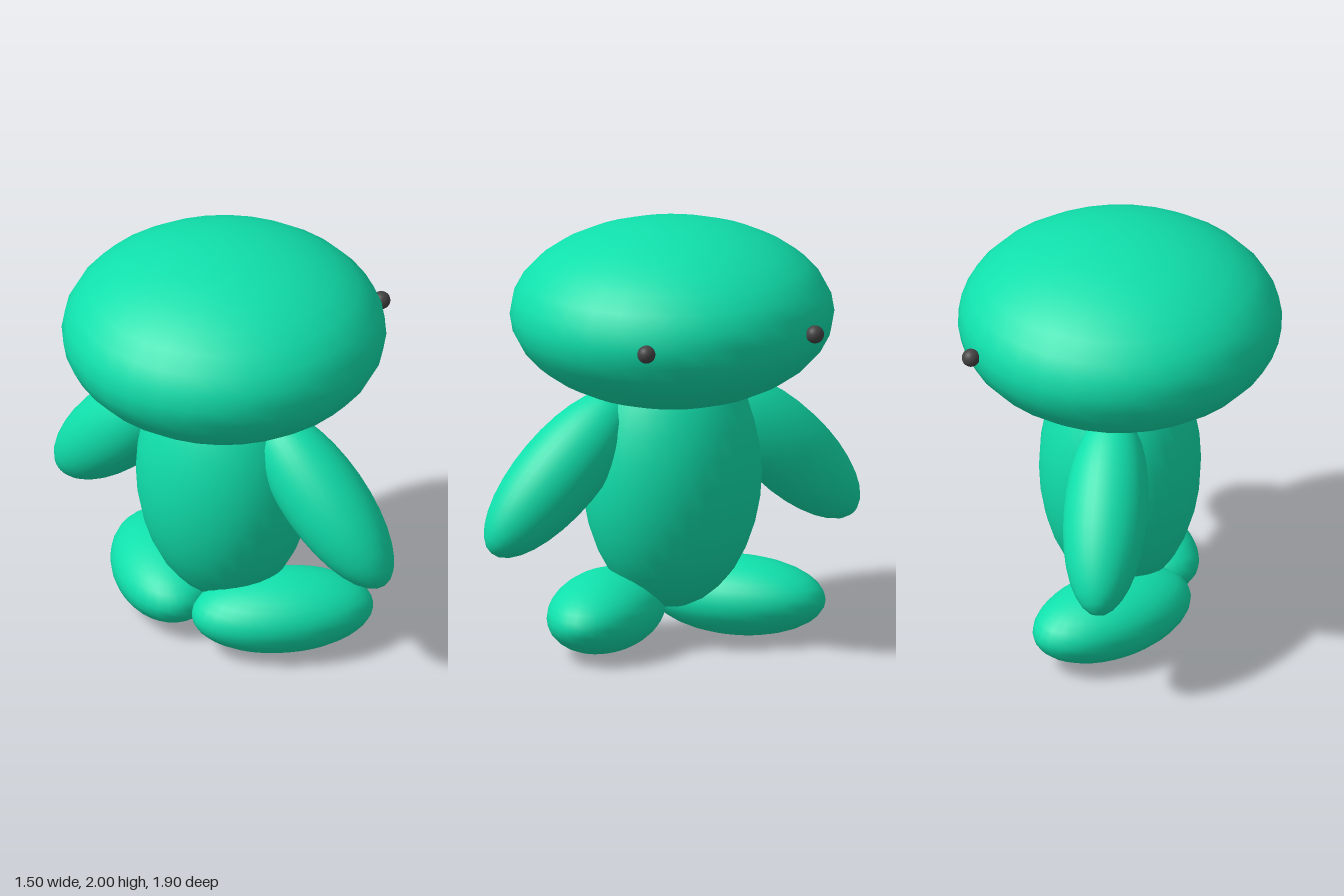
import * as THREE from 'three';

export function createModel() {
  const model = new THREE.Group();
  const skin = new THREE.MeshStandardMaterial({ color: 0x10e0ac });
  const dark = new THREE.MeshStandardMaterial({ color: 0x444444 });
  const ball = new THREE.SphereGeometry(1, 32, 16);

  // Every part is a stretched ball
  function addBall(name, material, position, radii, rotation = [0, 0, 0]) {
    const mesh = new THREE.Mesh(ball, material);
    mesh.name = name;
    mesh.position.set(...position);
    mesh.scale.set(...radii);
    mesh.rotation.set(...rotation);
    model.add(mesh);
  }

  addBall('head', skin, [0, 1.575, 0], [0.752, 0.425, 0.752]);
  addBall('body', skin, [0, 0.81, 0], [0.375, 0.64, 0.425]);

  // The face looks along +x, so the paired parts mirror across z
  for (const [side, s] of [['right', 1], ['left', -1]]) {
    // Arm slants down and outward
    addBall(side + 'Arm', skin, [0, 0.868, 0.575 * s], [0.196, 0.49, 0.2], [-s * Math.PI / 4, 0, 0]);
    // Foot is long along its local x, with the toes turned out
    addBall(side + 'Foot', skin, [0, 0.185, 0.335 * s], [0.424, 0.183, 0.25], [0, -s * Math.PI / 4, 0]);
    addBall(side + 'Eye', dark, [0.645, 1.575, 0.43 * s], [0.042, 0.042, 0.042]);
  }

  return model;
}
